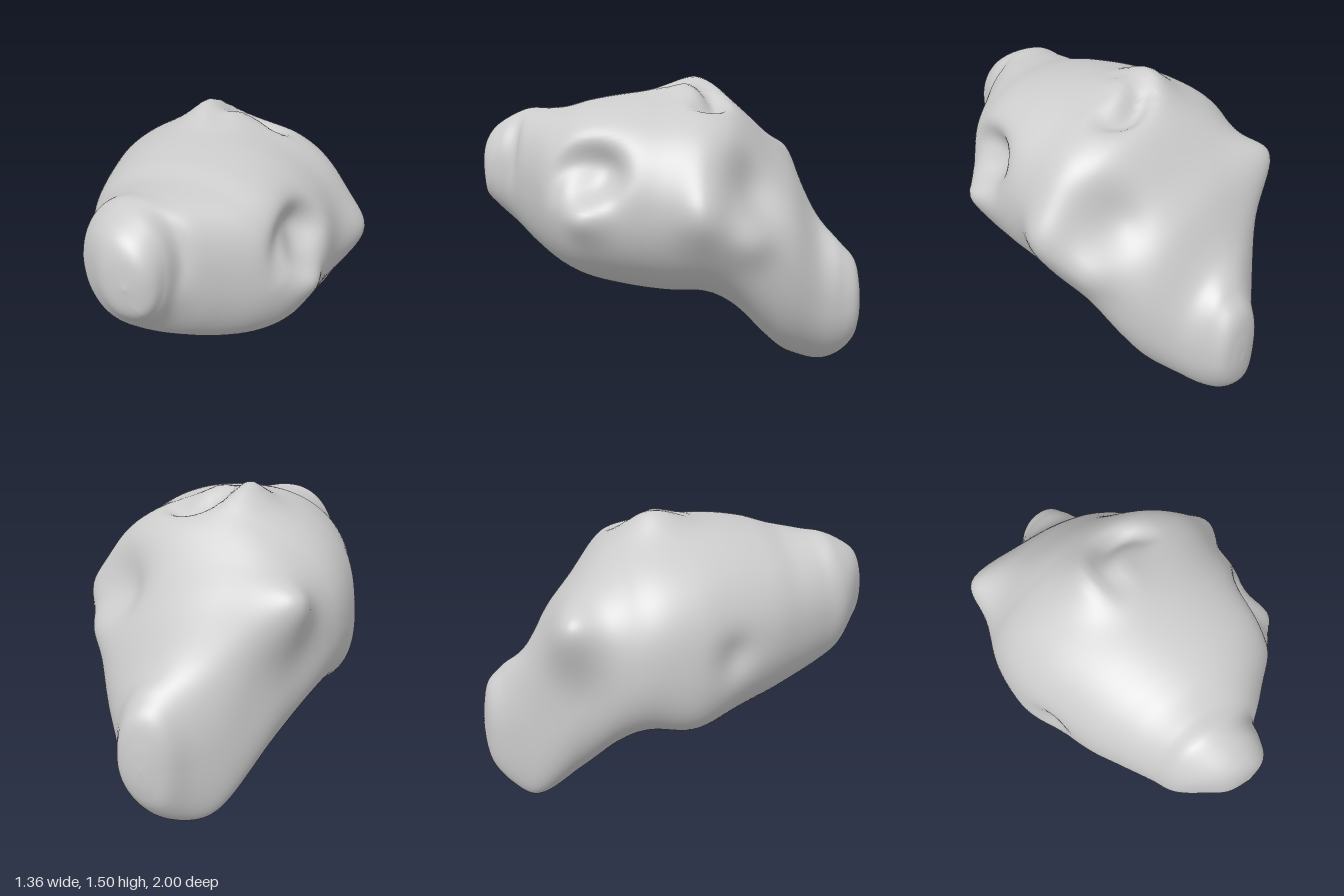
import * as THREE from 'three';

// Cross-sections from snout to tail: z, x min, x max, y min, y max
const SECTIONS = [
  [1.0, -0.06, -0.06, 1.02, 1.02],
  [0.98, -0.17, 0.05, 0.89, 1.17],
  [0.92, -0.26, 0.09, 0.81, 1.28],
  [0.82, -0.37, 0.13, 0.71, 1.33],
  [0.7, -0.42, 0.27, 0.62, 1.335],
  [0.55, -0.49, 0.46, 0.54, 1.35],
  [0.4, -0.56, 0.57, 0.48, 1.39],
  [0.2, -0.62, 0.59, 0.43, 1.42],
  [0.0, -0.67, 0.59, 0.4, 1.42],
  [-0.2, -0.67, 0.61, 0.4, 1.4],
  [-0.35, -0.62, 0.56, 0.32, 1.34],
  [-0.5, -0.51, 0.49, 0.17, 1.2],
  [-0.63, -0.41, 0.41, 0.06, 1.05],
  [-0.77, -0.27, 0.3, 0.0, 0.79],
  [-0.88, -0.14, 0.24, 0.04, 0.67],
  [-0.96, -0.06, 0.2, 0.13, 0.58],
  [-0.99, 0.01, 0.14, 0.22, 0.46],
  [-1.0, 0.07, 0.07, 0.33, 0.33],
];

// Soft swellings and dents: centre, push vector, radius
const BUMPS = [
  [[-0.46, 0.98, -0.58], [-0.11, 0.08, -0.04], 0.17], // shoulder nub
  [[-0.09, 1.42, -0.12], [-0.02, 0.11, 0], 0.16], // crown nub
  [[-0.55, 0.6, -0.02], [-0.05, -0.04, 0], 0.25], // full lower flank
  [[0.59, 0.9, -0.19], [0.07, 0.01, 0], 0.15], // flank point
  [[0.53, 0.78, -0.4], [0.04, 0, -0.02], 0.13], // ridge running back from it
  [[0.46, 1.03, -0.46], [-0.09, -0.03, 0.03], 0.18], // hollow above the ridge
  [[0.5, 1.07, 0.34], [-0.14, -0.06, -0.05], 0.13], // flank pocket
  [[0.57, 0.87, 0.36], [0.04, 0.01, 0.02], 0.1], // pocket lip
  [[-0.63, 0.9, 0.17], [0.04, 0, 0], 0.1], // opposite dent
].map(([c, d, s]) => [new THREE.Vector3(...c), new THREE.Vector3(...d), s]);

// Curled grooves: centre, outward normal, radius, start angle, sweep, depth
const SWIRLS = [
  [[-0.13, 1.06, 0.82], [0, 0, 1], 0.27, -0.9, 4.2, 0.06],
  [[0.11, 1.4, -0.08], [0, 1, 0], 0.17, 0.2, 3.8, 0.08],
  [[0.5, 1.0, 0.33], [0.85, 0.2, 0.5], 0.18, 0.2, 3.6, 0.04],
].map(([c, n, ...rest]) => {
  const normal = new THREE.Vector3(...n).normalize();
  const turn = new THREE.Quaternion().setFromUnitVectors(normal, new THREE.Vector3(0, 0, 1));
  return [new THREE.Vector3(...c), normal, turn, ...rest];
});

function sculpt(p) {
  const start = p.clone();
  for (const [c, push, s] of BUMPS) {
    p.addScaledVector(push, Math.exp(-start.distanceToSquared(c) / (s * s)));
  }
  for (const [c, normal, turn, radius, from, sweep, depth] of SWIRLS) {
    const q = start.clone().sub(c).applyQuaternion(turn);
    if (Math.abs(q.z) > 0.4) continue;
    const angle = THREE.MathUtils.euclideanModulo(Math.atan2(q.y, q.x) - from, Math.PI * 2);
    const t = Math.min(angle / sweep, 1);
    const ring = (Math.hypot(q.x, q.y) - radius * (0.75 + 0.3 * t)) / 0.06;
    const fade = Math.exp(-q.z * q.z / 0.05);
    p.addScaledVector(normal, -depth * fade * Math.sin(Math.PI * t) * Math.exp(-ring * ring));
  }
  return p;
}

// Slightly squared circle, so the flanks stay full
const squared = (v) => Math.sign(v) * Math.abs(v) ** 0.92;

function bodyGeometry(rows = 170, cols = 128) {
  const curve = (a, b) => new THREE.CatmullRomCurve3(
    SECTIONS.map((s) => new THREE.Vector3(s[0], s[a], s[b])), false, 'catmullrom');
  const xs = curve(1, 2);
  const ys = curve(3, 4);
  const positions = [];
  const index = [];
  for (let i = 0; i <= rows; i++) {
    const h = xs.getPoint(i / rows);
    const v = ys.getPoint(i / rows);
    const width = (h.z - h.y) / 2;
    // toward the tail the back leans to one side, then the foot shifts a little
    const back = THREE.MathUtils.smoothstep(-h.x, 0.3, 0.6);
    const tip = THREE.MathUtils.smoothstep(-h.x, 0.7, 0.9);
    const leanTop = -0.45 * back * (1 - tip) * width;
    const leanFoot = -0.3 * THREE.MathUtils.smoothstep(-h.x, 0.55, 0.8) * width;
    for (let j = 0; j < cols; j++) {
      const a = (j / cols) * Math.PI * 2;
      const s = Math.sin(a);
      const p = new THREE.Vector3(
        (h.y + h.z) / 2 + squared(Math.cos(a)) * width + (s > 0 ? leanTop : leanFoot) * s * s,
        (v.y + v.z) / 2 + squared(s) * (v.z - v.y) / 2,
        h.x);
      positions.push(...sculpt(p).toArray());
      if (i === rows) continue;
      const k = (j + 1) % cols;
      const r = i * cols;
      if (i < rows - 1) index.push(r + j, r + cols + j, r + cols + k);
      else index.push(r + j, r + cols + j, r + k);
      if (i > 0 && i < rows - 1) index.push(r + j, r + cols + k, r + k);
    }
  }
  const geometry = new THREE.BufferGeometry();
  geometry.setAttribute('position', new THREE.Float32BufferAttribute(positions, 3));
  geometry.setIndex(index);
  geometry.computeVertexNormals();
  return geometry;
}

export function createModel() {
  const group = new THREE.Group();
  const body = new THREE.Mesh(bodyGeometry(), new THREE.MeshStandardMaterial({ color: 0xcccccc }));
  body.name = 'swirledBody';
  group.add(body);
  return group;
}
